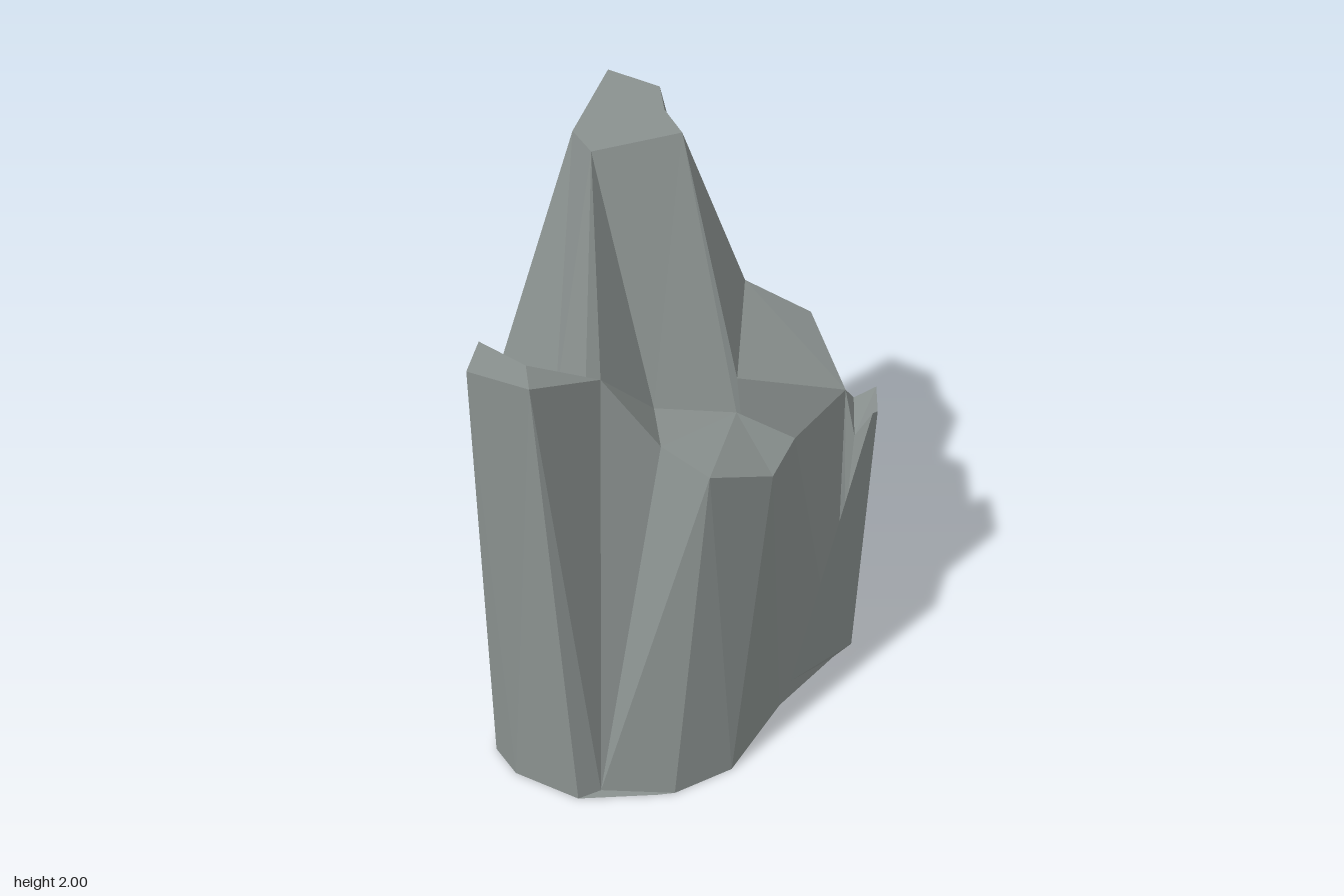
import * as THREE from 'three';

// Triangles between two left-to-right point rows, joined by the nearer diagonal
function skin(lower, upper) {
  const out = [];
  const gap = (p, q) => Math.hypot(p[0] - q[0], p[2] - q[2]);
  let i = 0, j = 0;
  while (i < lower.length - 1 || j < upper.length - 1) {
    const canLow = i < lower.length - 1, canUp = j < upper.length - 1;
    if (canLow && (!canUp || gap(lower[i + 1], upper[j]) <= gap(lower[i], upper[j + 1]))) {
      out.push(lower[i], lower[i + 1], upper[j]);
      i++;
    } else {
      out.push(lower[i], upper[j + 1], upper[j]);
      j++;
    }
  }
  return out;
}

// Flat polygon, corners counter-clockwise from outside
function fan(...p) {
  const out = [];
  for (let i = 1; i < p.length - 1; i++) out.push(p[0], p[i], p[i + 1]);
  return out;
}

export function createModel() {
  const group = new THREE.Group();
  group.name = 'rockOutcrop';
  const stone = new THREE.MeshStandardMaterial({ color: 0x8a918f, side: THREE.DoubleSide, flatShading: true });
  stone.name = 'grey stone';

  function addPart(name, ...faces) {
    const geo = new THREE.BufferGeometry();
    geo.setAttribute('position', new THREE.Float32BufferAttribute(faces.flat(2), 3));
    geo.computeVertexNormals();
    const mesh = new THREE.Mesh(geo, stone);
    mesh.name = name;
    group.add(mesh);
  }

  // Spire summit
  const sA = [-0.265, 2, -0.545], sB = [-0.095, 2, -0.435], sC = [-0.075, 2, -0.285];
  const sD = [-0.015, 2, -0.14], sE = [-0.285, 2, -0.015], sF = [-0.35, 2, -0.14];
  // Side pinnacle top and the notch behind it
  const pBack = [-0.6, 1.6, 0.42], pInner = [-0.45, 1.6, 0.54], pOuter = [-0.62, 1.6, 0.575], pFront = [-0.43, 1.6, 0.66];
  const notchLow = [-0.41, 1.17, 0.145], notchMid = [-0.305, 1.27, 0.24], saddle = [-0.24, 1.49, 0.45];
  // Terrace, with a deep cleft between it and the spire
  const tL = [-0.063, 1.23, 0.43], tC = [0.09, 1.26, 0.62], tD = [0.28, 1.155, 0.47], tE = [0.35, 1.13, 0.24];
  const tM = [-0.09, 1.265, 0.28], tN = [0.165, 1.2, 0.205], cleft = [0.28, 0.02, 0.06];
  // Knob
  const kQ = [0.165, 1.14, -0.065], kV = [0.185, 1.375, -0.29], kU = [0.405, 1.235, -0.32];
  const kR = [0.125, 1.28, -0.39], kS = [0.27, 1.265, -0.385], kT = [0.465, 0.91, -0.42], kO = [0.525, 1.02, -0.18];
  // Back ledges
  const bM = [-0.08, 0.5, -0.705], bO = [-0.45, 1.27, -0.48], bP = [-0.51, 1.24, -0.25], bQ = [-0.64, 1.06, -0.075];
  // Ground outline
  const ground = (x, z) => [x, 0, z];
  const gR = ground(-0.595, 0.18), gA = ground(-0.33, 0.72), gW = ground(-0.258, 0.68), gB = ground(-0.015, 0.685);
  const gF = ground(0.52, 0.01), gI = ground(0.525, -0.43), gX = ground(0.36, -0.5), gY = ground(0.185, -0.58);
  const gN = ground(-0.29, -0.65);

  addPart('spire',
    fan(sA, sF, sE, sD, sC, sB),
    skin([gX], [sD, sC, sB, sA]),
    skin([gX, gY, bM, gN, bO, bP, bQ], [sA, sF]),
    skin([bQ, notchLow, notchMid, saddle], [sF, sE]),
    skin([saddle, tM, tN], [sE, sD]),
    skin([tN, cleft, kQ, kV, kR], [sD]));

  addPart('sidePinnacle',
    fan(pBack, pOuter, pFront, pInner),
    skin([gR, ground(-0.62, 0.5), ground(-0.545, 0.61), gA, gW], [pBack, pOuter, pFront, saddle]),
    skin([saddle, notchMid, notchLow], [pFront, pInner, pBack]),
    fan(gR, pBack, notchLow),
    fan(bQ, gR, notchLow));

  addPart('terrace',
    skin([saddle, tL, tC, tD, tE], [tM, tN]),
    fan(tN, tE, cleft), fan(tE, kO, cleft), fan(cleft, kO, kQ));

  addPart('frontWall',
    skin([gW], [saddle, tL, tC]),
    skin([gW, gB, ground(0.17, 0.57), ground(0.33, 0.26), gF], [tC, tD, tE, kO]),
    skin([gF, gI, gX], [kO, kT]),
    fan(gW, gA, ground(-0.07, 0.695), gB));

  addPart('backWall',
    skin([gI, ground(0.42, -0.6), ground(0.22, -0.64), ground(0.02, -0.72), ground(-0.155, -0.71), gN], [gX, gY, bM]),
    skin([gN, ground(-0.42, -0.45), ground(-0.53, -0.07), gR], [bO, bP, bQ]));

  addPart('knob',
    fan(kV, kQ, kO), fan(kV, kO, kU), fan(kO, kT, kU),
    fan(kU, kT, kS), fan(kV, kU, kS), fan(kV, kS, kR),
    fan(kT, gX, kS), fan(kS, gX, kR));

  // Slab leaning on the right side, its front edge running into the wall
  const fIn = [0.555, 0.92, -0.06], fTop = [0.61, 1.02, -0.05], fSide = [0.632, 0.97, -0.13];
  const fBack = [0.635, 0.95, -0.3], fLow = [0.56, 0.91, -0.29];
  const fToe = [0.365, 0.08, 0.225], fMid = [0.535, 0.6, 0], fFoot = ground(0.585, -0.06);
  addPart('sideSlab',
    fan(fToe, fFoot, fTop, fMid),
    fan(fToe, gF, fFoot),
    fan(fMid, fTop, fIn), fan(fMid, fIn, kO),
    skin([fFoot, ground(0.585, -0.27), gI], [fTop, fSide, fBack, fLow, kT]),
    fan(fIn, fTop, fSide, fBack, fLow),
    fan(kO, fIn, fLow, kT));

  return group;
}
